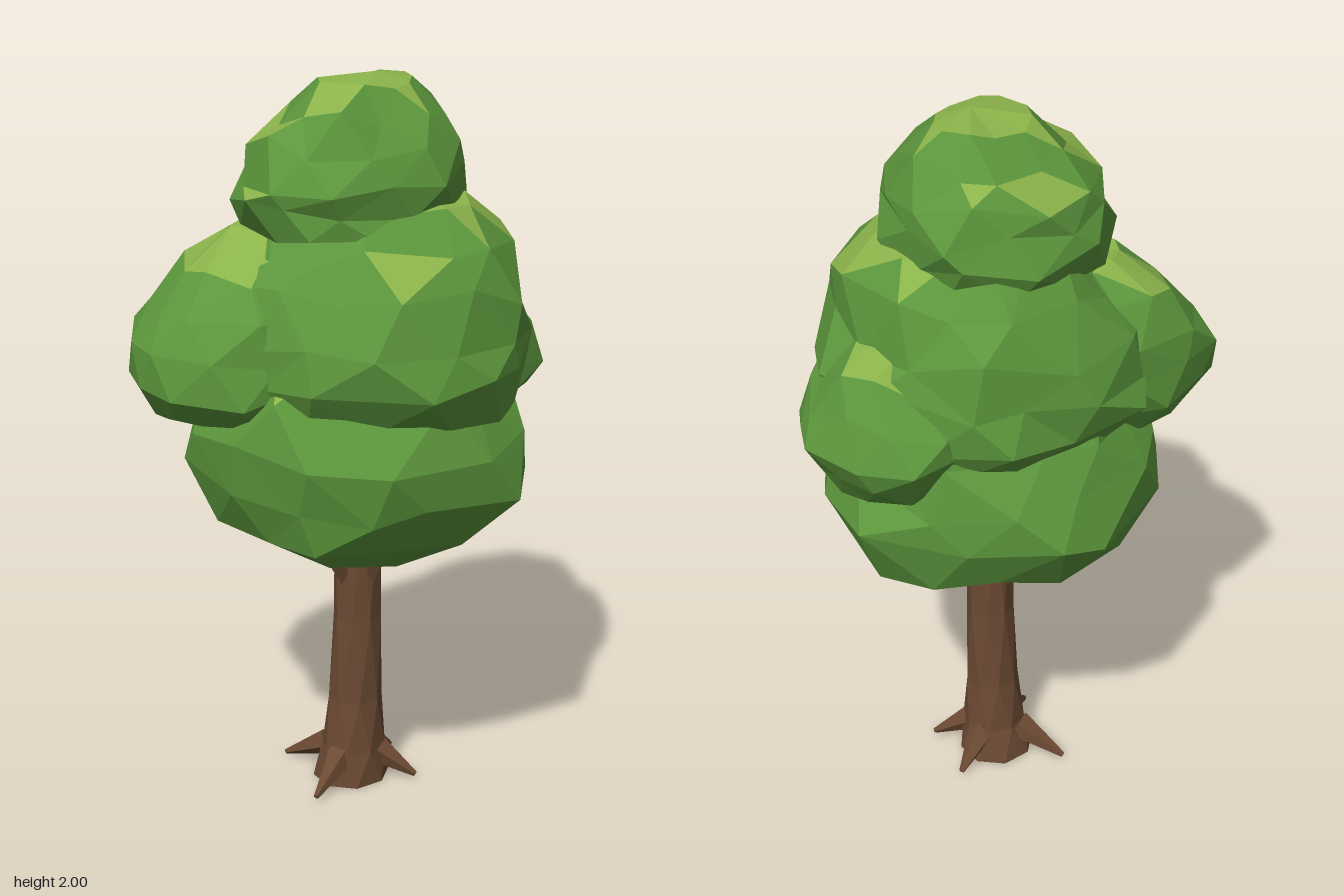
import * as THREE from 'three';

const leafMat = new THREE.MeshStandardMaterial({ color: 0x5c963c, flatShading: true });
const sunlitMat = new THREE.MeshStandardMaterial({ color: 0x8bb34a, flatShading: true });
const barkMat = new THREE.MeshStandardMaterial({ color: 0x6b4a33, flatShading: true });
const { lerp } = THREE.MathUtils;

// Small seeded generator for the uneven facets
function seeded(seed) {
  let s = seed;
  return () => (s = (s * 16807) % 2147483647) / 2147483647;
}

// Closed, faceted solid through rings of [y, centreX, centreZ, radiusX, radiusZ];
// odd rings are turned half a step, and jitter also domes the ends
function loft(rings, sides, jitter, seed) {
  const rand = seeded(seed * 7919 + 13);
  const pos = [], index = [];
  const last = rings.length - 1;
  rings.forEach(([y, cx, cz, rx, rz], i) => {
    const lift = jitter * (i > 0 && i < last ? 0.55 : 0.2);
    for (let j = 0; j < sides; j++) {
      const a = ((j + (i % 2) * 0.5 + (rand() - 0.5) * jitter * 4) / sides) * Math.PI * 2;
      const k = 1.02 + (rand() - 0.55) * jitter * 1.3;
      pos.push(cx + Math.cos(a) * k * rx, y + (rand() - 0.5) * lift, cz + Math.sin(a) * k * rz);
    }
  });
  for (let i = 0; i < last; i++) {
    for (let j = 0; j < sides; j++) {
      const a = i * sides + j, b = i * sides + (j + 1) % sides;
      const c = a + sides, d = b + sides;
      if (i % 2) index.push(a, c, d, a, d, b);
      else index.push(a, c, b, b, c, d);
    }
  }
  // End caps
  for (const i of [0, last]) {
    const [y, cx, cz, rx] = rings[i];
    const centre = pos.length / 3;
    pos.push(cx + rx * jitter * 2, y + (i ? 0.2 : -0.05) * jitter, cz);
    for (let j = 0; j < sides; j++) {
      const p = i * sides + j, q = i * sides + (j + 1) % sides;
      index.push(centre, ...(i ? [q, p] : [p, q]));
    }
  }
  const geo = new THREE.BufferGeometry();
  geo.setAttribute('position', new THREE.Float32BufferAttribute(pos, 3));
  geo.setIndex(index);
  const flat = geo.toNonIndexed();
  flat.computeVertexNormals();
  return flat;
}

// Leaf mass filling the given spans: swells from the bottom to its widest level,
// then rounds in to the top, whose centre is moved by lean
function leafMass({ x, y, z, widest, bottom, top, lean = [0, 0], sides, seed }) {
  const rings = [];
  for (let i = 0; i <= 5; i++) {
    const t = i / 5;
    const up = Math.max(0, (t - widest) / (1 - widest));
    const r = t < widest
      ? lerp(bottom, 1, Math.sin((t / widest) * Math.PI / 2))
      : lerp(top, 1, Math.max(0, Math.cos(up * Math.PI / 2)) ** 0.85);
    rings.push([
      lerp(y[0], y[1], t),
      (x[0] + x[1]) / 2 + lean[0] * up, (z[0] + z[1]) / 2 + lean[1] * up,
      r * (x[1] - x[0]) / 2, r * (z[1] - z[0]) / 2
    ]);
  }
  const geo = loft(rings, sides, 0.12, seed);
  // Faces turned to the sky are lighter
  const normal = geo.attributes.normal;
  for (let i = 0; i < normal.count; i += 3) geo.addGroup(i, 3, normal.getY(i) > 0.72 ? 1 : 0);
  return new THREE.Mesh(geo, [leafMat, sunlitMat]);
}

// Tapered limb between two points
function limb(from, to, r0, r1) {
  const a = new THREE.Vector3(...from), b = new THREE.Vector3(...to);
  const dir = b.clone().sub(a);
  const mesh = new THREE.Mesh(new THREE.CylinderGeometry(r1, r0, dir.length(), 5), barkMat);
  mesh.quaternion.setFromUnitVectors(new THREE.Vector3(0, 1, 0), dir.normalize());
  mesh.position.copy(a.add(b).multiplyScalar(0.5));
  return mesh;
}

export function createModel() {
  const tree = new THREE.Group();
  tree.name = 'tree';
  const add = (name, mesh) => { mesh.name = name; tree.add(mesh); };

  // Trunk, flared at the foot
  add('trunk', new THREE.Mesh(loft([
    [0, -0.01, 0, 0.105, 0.11],
    [0.1, 0, 0, 0.088, 0.092],
    [0.25, 0.005, 0, 0.074, 0.075],
    [0.5, 0.012, 0, 0.066, 0.066],
    [0.85, 0.015, 0, 0.064, 0.062]
  ], 8, 0, 1), barkMat));

  // Roots
  [[-0.22, 0.03], [0.165, -0.07], [0.01, 0.2], [0, -0.185]].forEach(([x, z]) =>
    add('root', limb([x * 0.35, 0.085, z * 0.35], [x, 0.012, z], 0.042, 0.008)));

  // Short branches running up into the leaves
  [[-0.13, -0.02], [0.13, 0.02], [-0.02, 0.13], [0.02, -0.13]].forEach(([x, z]) =>
    add('branch', limb([0.01 + x * 0.25, 0.61, z * 0.25], [x, 0.76, z], 0.028, 0.022)));

  // Crown: three stacked masses with a lump at the front right and one at the back
  add('lowerCrown', leafMass({
    x: [-0.43, 0.48], y: [0.7, 1.32], z: [-0.45, 0.45],
    widest: 0.38, bottom: 0.36, top: 0.72, sides: 13, seed: 3
  }));
  add('middleCrown', leafMass({
    x: [-0.41, 0.49], y: [1.15, 1.68], z: [-0.4, 0.41],
    widest: 0.28, bottom: 0.84, top: 0.58, lean: [0, -0.04], sides: 13, seed: 5
  }));
  add('frontLump', leafMass({
    x: [-0.5, 0.06], y: [1.13, 1.6], z: [0, 0.54],
    widest: 0.36, bottom: 0.68, top: 0.42, lean: [0.06, -0.14], sides: 11, seed: 8
  }));
  add('backLump', leafMass({
    x: [-0.13, 0.37], y: [1.08, 1.47], z: [-0.54, -0.1],
    widest: 0.4, bottom: 0.6, top: 0.5, lean: [0, 0.09], sides: 11, seed: 11
  }));
  add('topCrown', leafMass({
    x: [-0.28, 0.28], y: [1.61, 1.975], z: [-0.29, 0.34],
    widest: 0.3, bottom: 0.92, top: 0.42, lean: [0.03, -0.04], sides: 11, seed: 17
  }));

  return tree;
}
